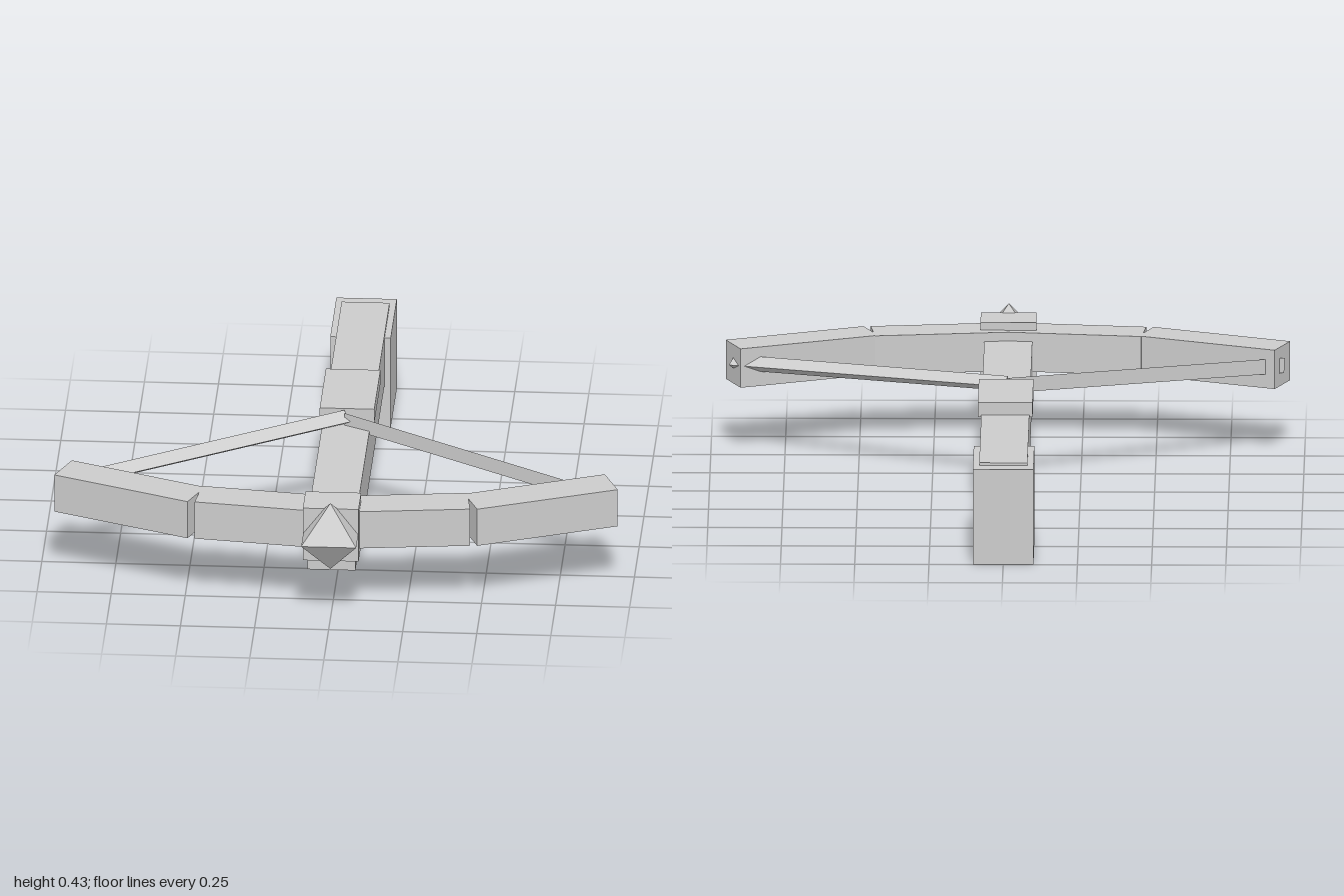
import * as THREE from 'three';

export function createModel() {
  const model = new THREE.Group();
  model.name = 'crossbow';
  const grey = new THREE.MeshStandardMaterial({ color: 0xcccccc, flatShading: true });
  grey.name = 'plain grey';

  const add = (name, geometry) => {
    const mesh = new THREE.Mesh(geometry, grey);
    mesh.name = name;
    model.add(mesh);
    return mesh;
  };
  // Box given by its half width and its y and z limits, centred on x = 0
  const block = (name, halfX, y0, y1, z0, z1) => {
    const mesh = add(name, new THREE.BoxGeometry(halfX * 2, y1 - y0, z1 - z0));
    mesh.position.set(0, (y0 + y1) / 2, (z0 + z1) / 2);
  };

  // Stock, from butt to head
  block('stock', 0.081, 0.155, 0.34, -0.945, 0.852);
  block('butt', 0.102, 0, 0.33, -1, -0.677);
  block('lockPlate', 0.092, 0.333, 0.384, -0.292, 0.032);
  block('headBlock', 0.094, 0.205, 0.397, 0.752, 0.89);

  // Four-sided double pyramid at the front
  const tip = add('frontSpike', new THREE.OctahedronGeometry(1).rotateY(Math.PI / 4));
  tip.scale.set(0.131, 0.121, 0.131);
  tip.position.set(0, 0.304, 0.907);

  for (const side of [1, -1]) {
    const label = side > 0 ? 'left' : 'right';

    // Bow limb in two straight segments swept backwards
    const segments = [
      ['InnerLimb', 0.468, 0.224, 0.7655, 7],
      ['OuterLimb', 0.5, 0.694, 0.645, 22.5],
    ];
    for (const [part, length, x, z, degrees] of segments) {
      const limb = add(label + part, new THREE.BoxGeometry(length, 0.135, 0.134));
      limb.position.set(side * x, 0.303, z);
      limb.rotation.y = side * THREE.MathUtils.degToRad(degrees);
    }

    // Bowstring half: a three-sided rod with one edge turned sideways
    const start = new THREE.Vector3(0, 0.358, 0.057);
    const end = new THREE.Vector3(side * 0.925, 0.306, 0.547);
    const along = end.clone().sub(start);
    const length = along.length();
    along.normalize();
    const edge = new THREE.Vector3(along.z, 0, -along.x).normalize();
    const across = along.clone().cross(edge);
    const string = add(label + 'String', new THREE.CylinderGeometry(0.03, 0.03, length, 3));
    string.quaternion.setFromRotationMatrix(new THREE.Matrix4().makeBasis(across, along, edge));
    string.position.copy(start).add(end).multiplyScalar(0.5);
  }

  return model;
}
